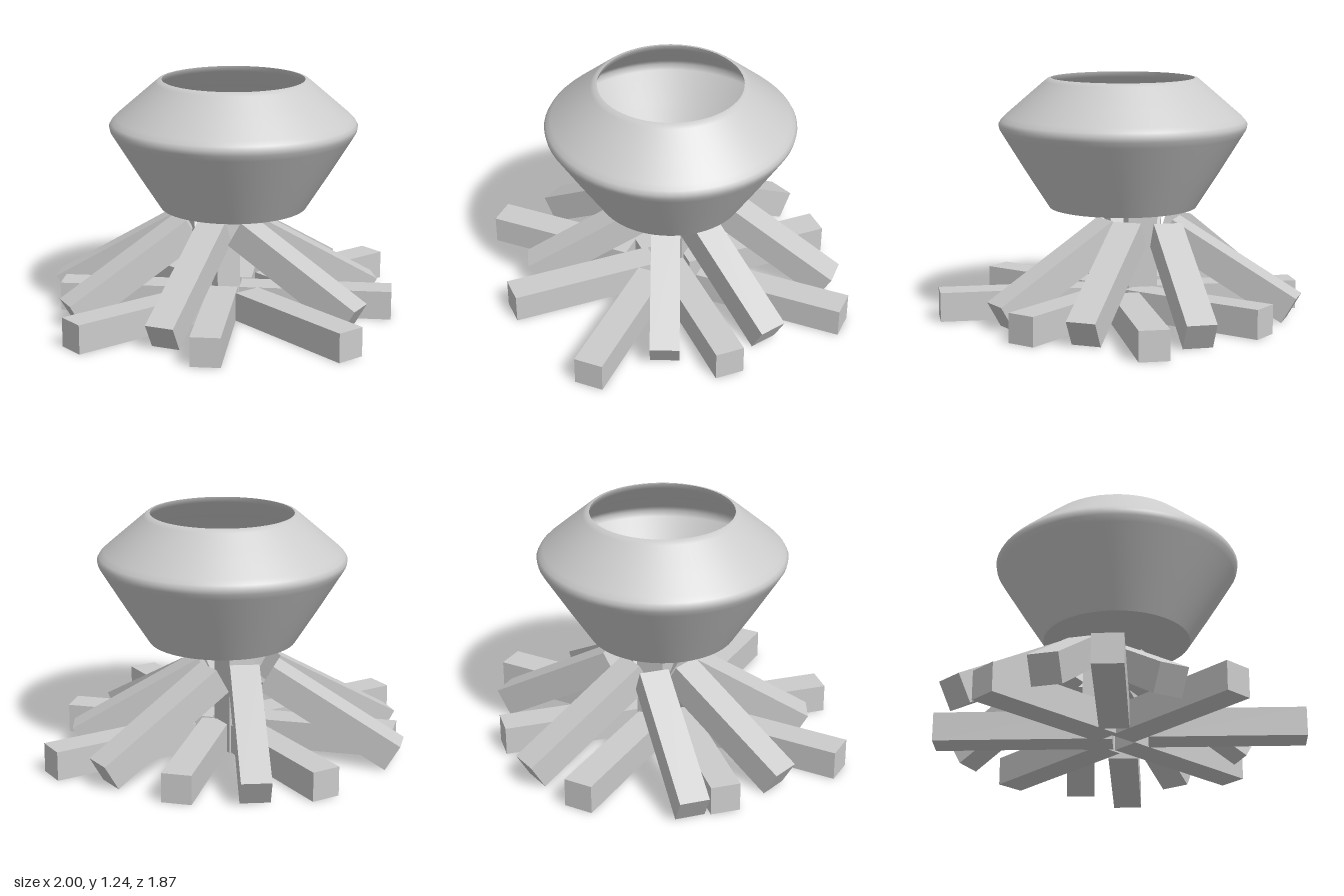
import * as THREE from 'three';

const THICK = 0.15; // square section of every stick

export function createModel() {
  const model = new THREE.Group();
  const wood = new THREE.MeshStandardMaterial({ color: 0xcccccc, flatShading: true });
  const clay = new THREE.MeshStandardMaterial({ color: 0xcccccc, side: THREE.DoubleSide });

  // A stick pointing outward along (dx, dz); (x, z) is the middle of its outer top edge.
  function addStick(name, x, z, dx, dz, length, tilt) {
    const stick = new THREE.Mesh(new THREE.BoxGeometry(THICK, THICK, length), wood);
    const n = Math.hypot(dx, dz);
    const c = Math.cos(tilt), s = Math.sin(tilt);
    const inward = (length * c + THICK * s) / 2;
    stick.name = name;
    stick.rotation.order = 'YXZ';
    stick.rotation.set(tilt, Math.atan2(dx, dz), 0);
    stick.position.set(x - inward * dx / n, (length * s + THICK * c) / 2, z - inward * dz / n);
    model.add(stick);
  }

  // Sticks lying on the ground
  [
    [-0.02, 0.93, 0, 1], [-0.005, -0.94, 0, -1],
    [1, 0.005, 1, 0], [-1, -0.025, -1, 0],
    [0.594, 0.58, 1, 1], [-0.63, 0.57, -1, 1],
    [0.64, -0.62, 1, -1], [-0.65, -0.625, -1, -1],
  ].forEach(([x, z, dx, dz]) => addStick('lyingStick', x, z, dx, dz, 0.79, 0));

  // Sticks leaning inward
  [
    [0.282, 0.678, 0.38, 0.925], [0.725, 0.31, 0.86, 0.5],
    [0.872, -0.25, 1, -0.05], [0.348, -0.875, 0.45, -0.89],
    [-0.57, -0.795, -0.72, -0.7], [-0.835, -0.33, -0.975, -0.22],
    [-0.685, 0.275, -0.88, 0.47],
  ].forEach(([x, z, dx, dz]) => addStick('leaningStick', x, z, dx, dz, 0.75, Math.PI / 6));

  // Upright post in the middle
  const post = new THREE.Mesh(new THREE.BoxGeometry(THICK, 0.545, THICK), wood);
  post.name = 'centrePost';
  post.position.set(0.005, 0.2725, -0.115);
  model.add(post);

  // Hollow pot: walls, floor and rim are separate turned strips so their edges stay sharp
  const pot = new THREE.Group();
  pot.name = 'pot';
  pot.position.set(0.02, 0, -0.02);
  const turned = (name, points) => {
    const geometry = new THREE.LatheGeometry(points.map(([r, y]) => new THREE.Vector2(r, y)), 64);
    const mesh = new THREE.Mesh(geometry, clay);
    mesh.name = name;
    pot.add(mesh);
  };
  turned('potBase', [[0, 0.57], [0.38, 0.57]]);
  turned('potOuterWall', [
    [0.38, 0.57], [0.5, 0.758], [0.615, 0.945], [0.633, 0.975], [0.638, 1.0],
    [0.627, 1.02], [0.605, 1.042], [0.5, 1.133], [0.4, 1.219], [0.385, 1.231], [0.367, 1.235],
  ]);
  turned('potInnerWall', [
    [0.367, 1.235], [0.375, 1.205], [0.49, 1.105], [0.585, 1.015], [0.602, 0.985],
    [0.59, 0.955], [0.49, 0.79], [0.38, 0.6],
  ]);
  turned('potFloor', [[0.38, 0.6], [0, 0.6]]);
  model.add(pot);

  return model;
}
